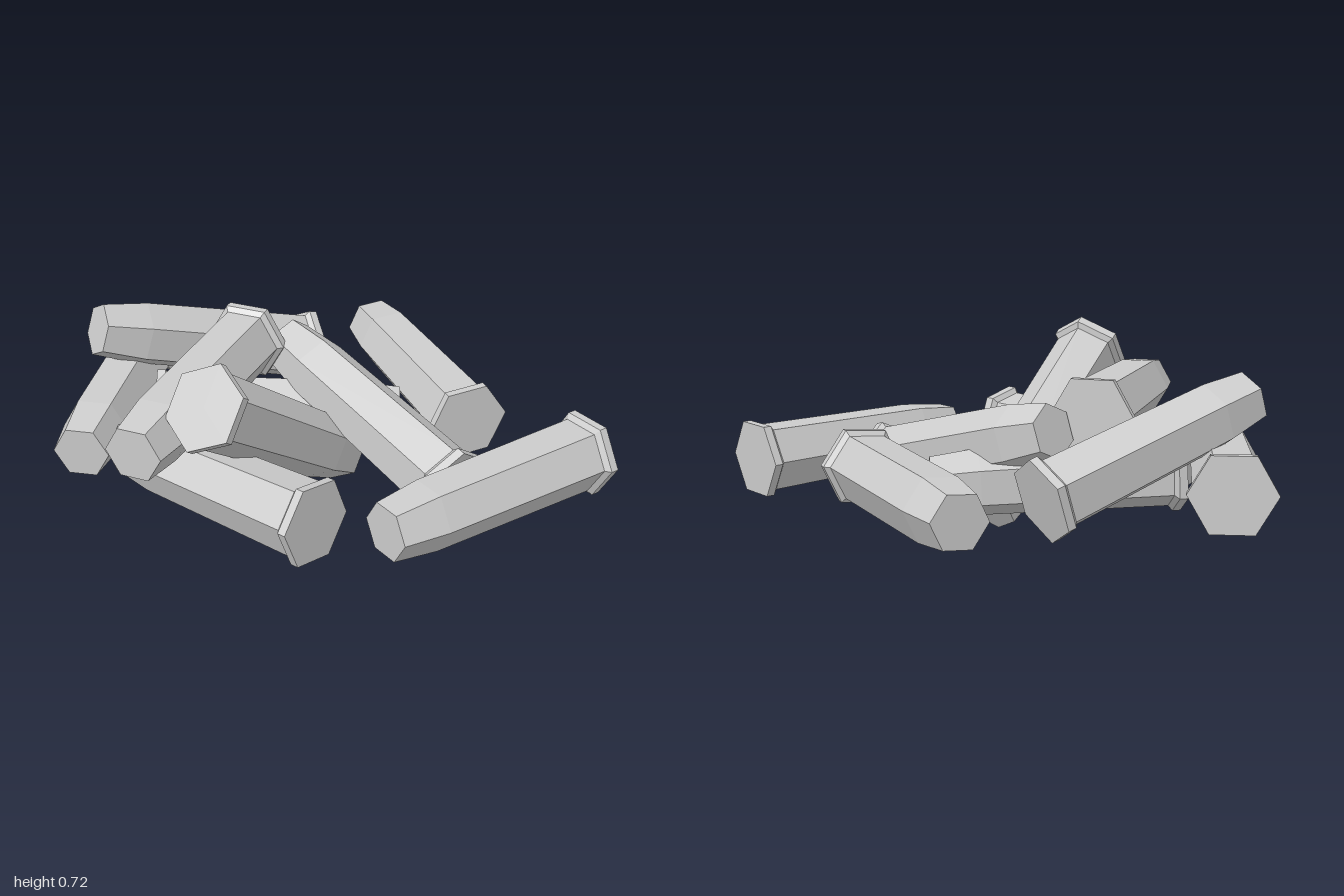
import * as THREE from 'three';

const LENGTH = 0.89;

// Each casing: tip centre, rim centre, roll in degrees (0 = a corner of the hexagon points up)
const CASINGS = [
  [[-0.37, 0.26, -0.76], [0.44, 0.26, -0.40], 25],
  [[-0.24, 0.43, -0.15], [0.61, 0.20, -0.10], 5],
  [[0.70, 0.26, 0.33], [0.85, 0.25, -0.55], 30],
  [[-0.37, 0.26, 0.72], [-0.87, 0.28, -0.01], 30],
  [[-0.67, 0.52, 0.40], [-0.40, 0.26, -0.41], 0],
  [[0.04, 0.46, 0.81], [-0.31, 0.47, -0.03], 30],
  [[0.08, 0.10, -0.11], [0.17, 0.61, 0.61], 0],
  [[-0.36, 0.22, 0.53], [0.54, 0.28, 0.47], -20],
  [[0.15, 0.22, -0.33], [-0.45, 0.25, 0.30], 0],
];

// Six-sided casing along +y: narrow tip, shoulder, slightly flared body, rim
function casingGeometry() {
  const profile = [
    [0, 0], [0.1, 0], [0.121, 0.17], [0.13, 0.845],
    [0.15, 0.86], [0.15, LENGTH], [0, LENGTH],
  ].map(([r, y]) => new THREE.Vector2(r, y - LENGTH / 2));
  return new THREE.LatheGeometry(profile, 6);
}

export function createModel() {
  const group = new THREE.Group();
  group.name = 'casingPile';
  const geometry = casingGeometry();
  const material = new THREE.MeshStandardMaterial({ color: 0xcccccc, flatShading: true });

  CASINGS.forEach(([tipPoint, rimPoint, roll], i) => {
    const tip = new THREE.Vector3(...tipPoint);
    const rim = new THREE.Vector3(...rimPoint);
    const axis = rim.clone().sub(tip).normalize();
    // Direction of one hexagon corner: world up made square to the axis, then rolled
    const corner = new THREE.Vector3(0, 1, 0).projectOnPlane(axis).normalize();
    corner.applyAxisAngle(axis, -THREE.MathUtils.degToRad(roll));
    const side = new THREE.Vector3().crossVectors(axis, corner);

    const casing = new THREE.Mesh(geometry, material);
    casing.name = `casing${i + 1}`;
    casing.quaternion.setFromRotationMatrix(new THREE.Matrix4().makeBasis(side, axis, corner));
    casing.position.copy(tip).add(rim).multiplyScalar(0.5);
    group.add(casing);
  });
  return group;
}
